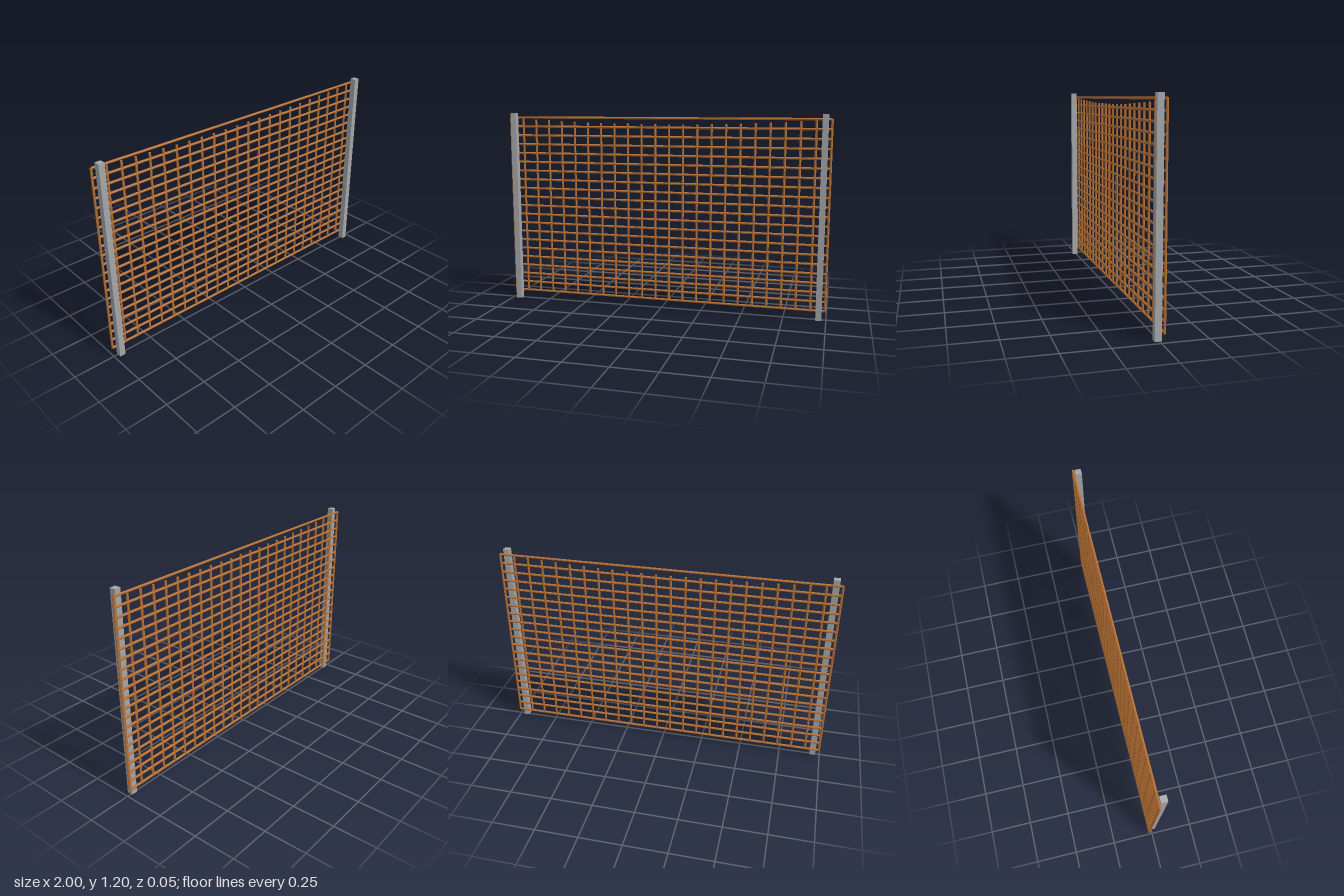
import * as THREE from 'three';

export function createModel() {
  const group = new THREE.Group();
  const steel = new THREE.MeshStandardMaterial({ color: 0xa3a6a8 });
  steel.name = 'grey steel';
  const copper = new THREE.MeshStandardMaterial({ color: 0xb87033, flatShading: true });
  copper.name = 'copper brown';

  const add = (name, geometry, material, x, y, z) => {
    const mesh = new THREE.Mesh(geometry, material);
    mesh.name = name;
    mesh.position.set(x, y, z);
    group.add(mesh);
    return mesh;
  };

  const gridZ = -0.018, edgeX = 0.993, bottomY = 0.048, topY = 1.171;

  // Square posts in front of the grid
  const post = new THREE.BoxGeometry(0.035, 1.2, 0.036);
  add('leftPost', post, steel, 0.957, 0.6, 0.0074);
  add('rightPost', post, steel, -0.957, 0.6, 0.0074);

  // Evenly spaced horizontal rods
  const rows = 21;
  const rod = new THREE.CylinderGeometry(0.0072, 0.0072, edgeX * 2, 8).rotateZ(Math.PI / 2);
  for (let i = 0; i < rows; i++) {
    const y = bottomY + (topY - bottomY) * i / (rows - 1);
    add('horizontalRod' + (i + 1), rod, copper, 0, y, gridZ);
  }

  // Vertical rods whose tops follow a shallow sag
  const columns = 24;
  for (let i = 0; i < columns; i++) {
    const x = edgeX * (2 * i / (columns - 1) - 1);
    const height = 1.135 + 0.037 * x * x - bottomY;
    const upright = new THREE.CylinderGeometry(0.0068, 0.0068, height, 8);
    add('verticalRod' + (i + 1), upright, copper, x, bottomY + height / 2, gridZ);
  }

  return group;
}
